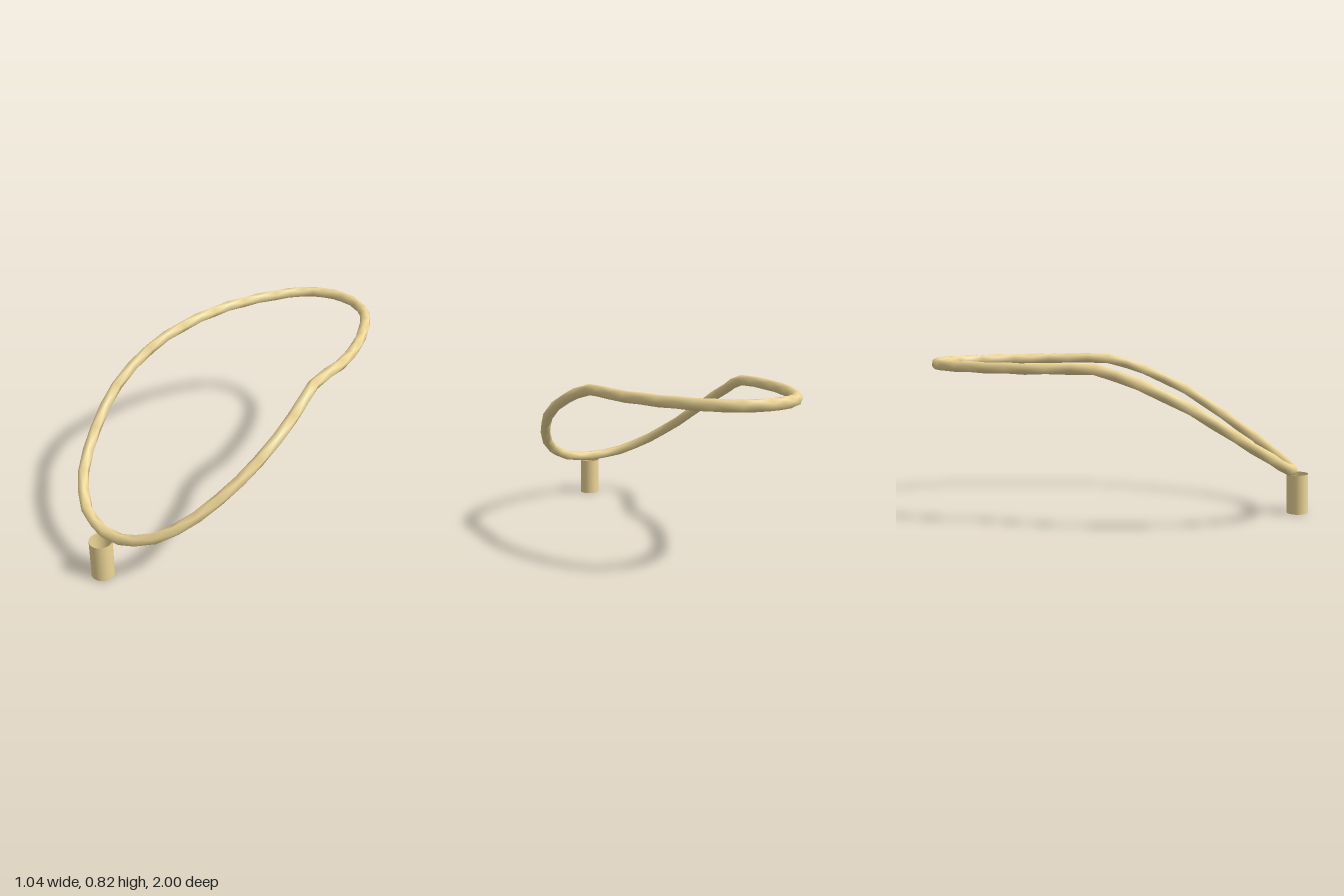
import * as THREE from 'three';

const RINGS = 48;   // cross-sections around the loop
const SIDES = 5;    // pentagonal cord, every other ring turned half a step
const RADIUS = 0.029;

// Half of the loop's centre line, from front middle to back middle
const HALF = [
  [0, 0.242, 0.903], [0.175, 0.267, 0.865], [0.325, 0.35, 0.75],
  [0.428, 0.472, 0.567], [0.488, 0.608, 0.355], [0.487, 0.724, 0.11],
  [0.445, 0.79, -0.1], [0.434, 0.793, -0.335], [0.388, 0.793, -0.54],
  [0.31, 0.793, -0.725], [0.222, 0.793, -0.868], [0.12, 0.793, -0.943],
  [0, 0.793, -0.971],
];

function loopCurve() {
  const left = HALF.map(p => new THREE.Vector3(...p));
  const right = HALF.slice(1, -1).reverse().map(([x, y, z]) => new THREE.Vector3(-x, y, z));
  return new THREE.CatmullRomCurve3([...left, ...right], true, 'catmullrom', 0.5);
}

// Closed cord with alternating cross-sections, which gives the wavy outline
function cordGeometry(curve) {
  const positions = [], index = [];
  const centre = new THREE.Vector3(0, 0.6, 0);
  for (let i = 0; i < RINGS; i++) {
    const p = curve.getPoint(i / RINGS);
    const t = curve.getTangent(i / RINGS);
    const out = p.clone().sub(centre);
    out.addScaledVector(t, -out.dot(t)).normalize();
    const side = new THREE.Vector3().crossVectors(t, out);
    for (let j = 0; j < SIDES; j++) {
      const a = (j + (i % 2) / 2) / SIDES * Math.PI * 2;
      const v = p.clone()
        .addScaledVector(out, RADIUS * Math.cos(a))
        .addScaledVector(side, RADIUS * Math.sin(a));
      positions.push(v.x, v.y, v.z);
    }
  }
  for (let i = 0; i < RINGS; i++) {
    const even = i % 2 === 0;
    const r0 = i * SIDES, r1 = ((i + 1) % RINGS) * SIDES;
    for (let j = 0; j < SIDES; j++) {
      const k = (j + 1) % SIDES;
      const a = r0 + j, b = r0 + k, c = r1 + j, d = r1 + k;
      // the diagonal follows the half-step turn
      if (even) index.push(a, b, c, b, d, c);
      else index.push(a, b, d, a, d, c);
    }
  }
  const g = new THREE.BufferGeometry();
  g.setAttribute('position', new THREE.Float32BufferAttribute(positions, 3));
  g.setIndex(index);
  g.computeVertexNormals();
  return g;
}

export function createModel() {
  const model = new THREE.Group();
  const material = new THREE.MeshStandardMaterial({ color: 0xf0d898, side: THREE.DoubleSide });

  // Loop rising from the front and lying flat at the back
  const cord = new THREE.Mesh(cordGeometry(loopCurve()), material);
  cord.name = 'cordLoop';
  model.add(cord);

  // Open tube hanging under the front of the loop, leaning slightly back
  const pendant = new THREE.Mesh(
    new THREE.CylinderGeometry(0.057, 0.057, 0.21, 24, 1, true), material);
  pendant.name = 'tubePendant';
  pendant.position.set(0, 0.107, 0.939);
  pendant.rotation.x = -0.035;
  model.add(pendant);

  return model;
}
